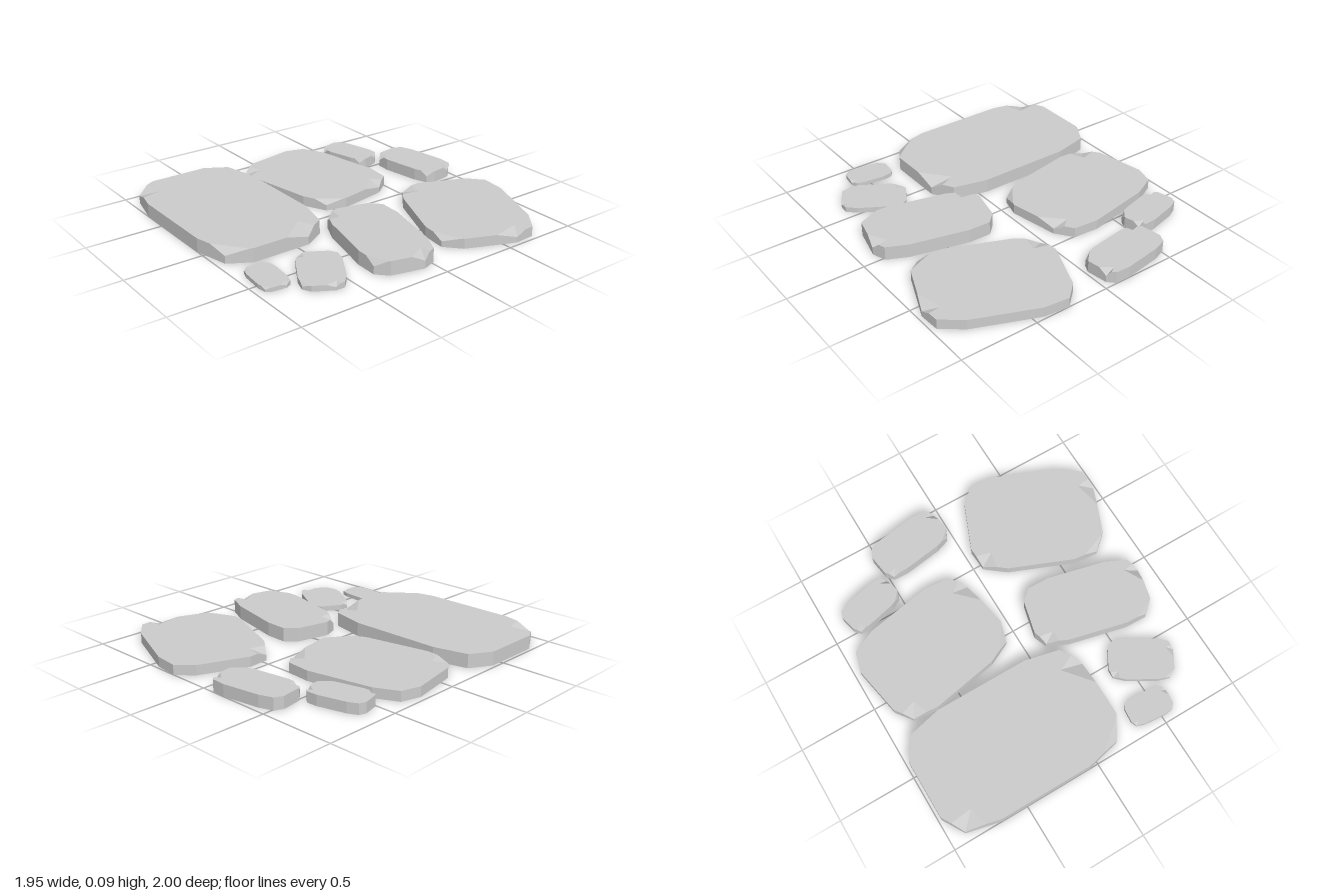
import * as THREE from 'three';

// One stone in unit size: a 12-sided slab, y 0..1, with three chipped top corners.
function stoneGeometry() {
  // Outline, counter-clockwise seen from above
  const corner = [[1, 0.5], [0.865, 0.865], [0.5, 1]];
  const outline = [];
  for (let q = 0; q < 4; q++) {
    for (let k = 0; k < 3; k++) {
      const [x, b] = corner[q % 2 ? 2 - k : k];
      outline.push([q === 1 || q === 2 ? -x : x, q < 2 ? -b : b]);
    }
  }
  const n = outline.length;
  const at = (i, y) => new THREE.Vector3(outline[(i + n) % n][0], y, outline[(i + n) % n][1]);

  // Chips: corner index -> reach along both rim edges, notch point, height left
  const chips = {
    0: { back: 0.4, ahead: 0.5, inner: [0.76, -0.57], low: 0.55 },
    7: { back: 0.57, ahead: 0.55, inner: [-0.71, 0.62], low: 0.55 },
    10: { back: 0.52, ahead: 0.9, inner: [0.84, 0.73], low: 0.55 },
  };

  const pos = [];
  const tri = (...pts) => pts.forEach((p) => pos.push(p.x, p.y, p.z));
  const rim = [];
  const before = []; // top points reached when arriving at a corner
  const after = []; // top points when leaving a corner
  for (let i = 0; i < n; i++) {
    const top = at(i, 1);
    const c = chips[i];
    if (!c) {
      before.push([top]);
      after.push([top]);
      rim.push(top);
      continue;
    }
    const a = top.clone().lerp(at(i - 1, 1), c.back);
    const b = top.clone().lerp(at(i + 1, 1), c.ahead);
    const inner = new THREE.Vector3(c.inner[0], 1, c.inner[1]);
    const low = at(i, c.low);
    before.push([low, a]);
    after.push([b, low]);
    rim.push(a, inner, b);
    tri(inner, a, low);
    tri(inner, low, b);
  }

  // Walls and underside
  for (let i = 0; i < n; i++) {
    const j = (i + 1) % n;
    const wall = [at(i, 0), at(j, 0), ...before[j], ...after[i]];
    for (let k = 1; k < wall.length - 1; k++) tri(wall[0], wall[k], wall[k + 1]);
    tri(new THREE.Vector3(0, 0, 0), at(j, 0), at(i, 0));
  }
  // Walking surface
  rim.forEach((p, i) => tri(new THREE.Vector3(0, 1, 0), p, rim[(i + 1) % rim.length]));

  const geo = new THREE.BufferGeometry();
  geo.setAttribute('position', new THREE.Float32BufferAttribute(pos, 3));
  return geo;
}

export function createModel() {
  const group = new THREE.Group();
  group.name = 'steppingStones';
  const material = new THREE.MeshStandardMaterial({ color: 0xcccccc, flatShading: true });

  // name, x, z, half width, half depth, height, turn
  const stones = [
    ['frontLargeStone', -0.365, 0.615, 0.615, 0.385, 0.09, 0],
    ['middleRightStone', -0.503, -0.157, 0.437, 0.327, 0.065, 0.185],
    ['backLeftStone', 0.51, -0.592, 0.433, 0.334, 0.065, -0.39],
    ['middleLeftStone', 0.495, 0.09, 0.386, 0.218, 0.09, -0.235],
    ['backSmallStone', -0.277, -0.847, 0.25, 0.135, 0.077, 0.15],
    ['backSmallestStone', -0.697, -0.605, 0.187, 0.104, 0.068, 0.245],
    ['frontSmallStone', 0.587, 0.58, 0.206, 0.135, 0.035, -0.536],
    ['frontSmallestStone', 0.463, 0.857, 0.145, 0.092, 0.026, -0.09],
  ];
  const base = stoneGeometry();
  for (const [name, x, z, w, d, h, turn] of stones) {
    const geo = base.clone().scale(w, h, d);
    geo.computeVertexNormals();
    const stone = new THREE.Mesh(geo, material);
    stone.name = name;
    stone.position.set(x, 0, z);
    stone.rotation.y = turn;
    group.add(stone);
  }
  return group;
}
